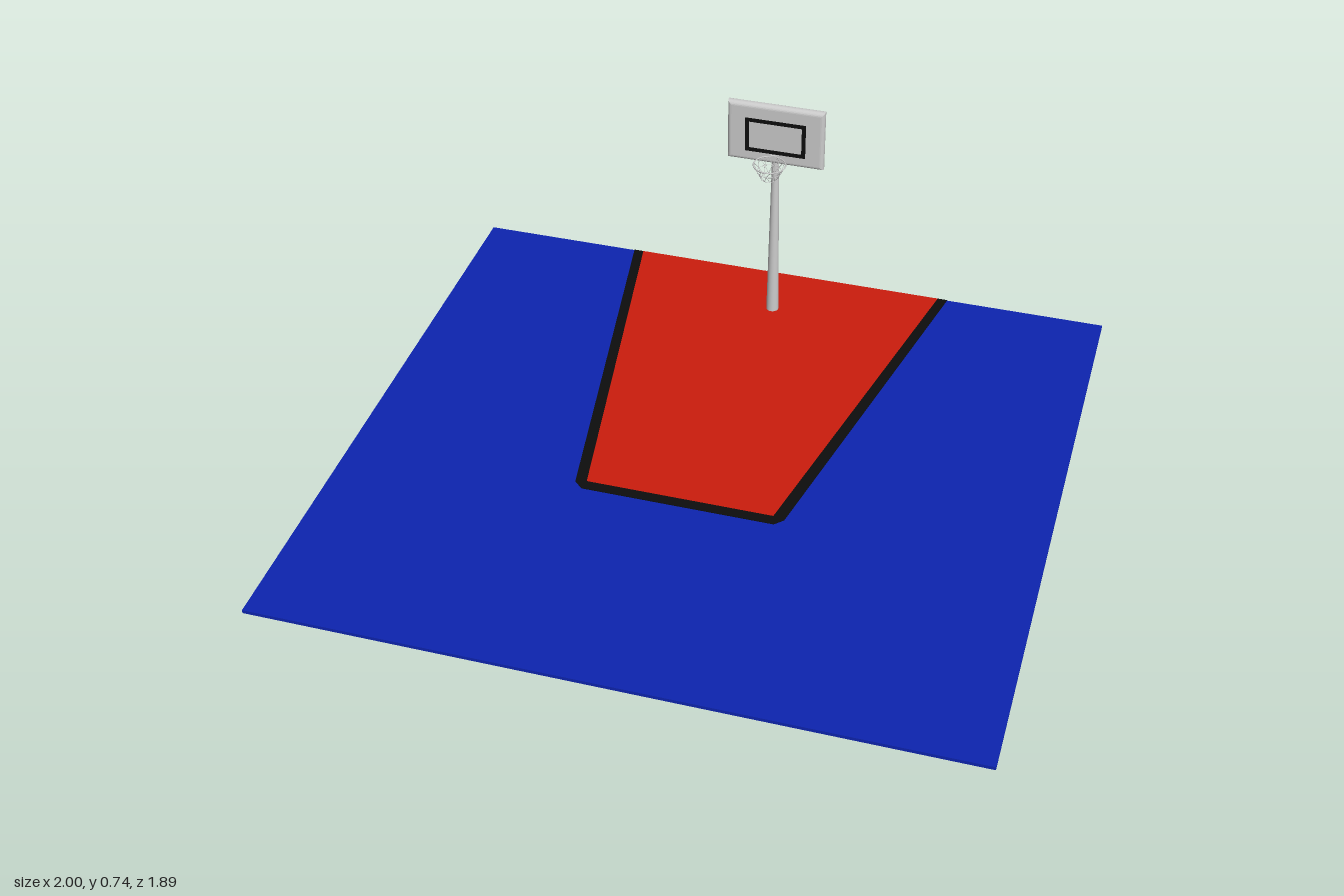
import * as THREE from 'three';

const material = (color) => new THREE.MeshStandardMaterial({ color });
const grey = material(0xcccccc);
const black = material(0x0d0d0d);
const red = material(0xcc1c0d);
const blue = material(0x0d24b0);

const FLOOR = 0.01;   // height of the court surface
const HALF_Z = 0.945; // half the court depth

function addMesh(parent, name, geometry, mat, x = 0, y = 0, z = 0) {
  const mesh = new THREE.Mesh(geometry, mat);
  mesh.name = name;
  mesh.position.set(x, y, z);
  parent.add(mesh);
  return mesh;
}

const polygon = (points) => new THREE.Shape(points.map(([x, y]) => new THREE.Vector2(x, y)));

function rectangle(w, h) {
  return polygon([[-w / 2, -h / 2], [w / 2, -h / 2], [w / 2, h / 2], [-w / 2, h / 2]]);
}

// Thin painted area on the floor, outlined in [x, z]
function addPaint(parent, name, outline, mat) {
  const geometry = new THREE.ExtrudeGeometry(polygon(outline.map(([x, z]) => [x, -z])),
    { depth: 0.002, bevelEnabled: false });
  geometry.rotateX(-Math.PI / 2);
  addMesh(parent, name, geometry, mat, 0, FLOOR, 0);
}

function createCourt() {
  const court = new THREE.Group();
  court.name = 'court';
  addMesh(court, 'floor', new THREE.BoxGeometry(2, FLOOR, HALF_Z * 2), blue, 0, FLOOR / 2, 0);

  // Key area and the U-shaped line round it
  const inner = [[-0.484, -HALF_Z], [-0.295, 0.2], [0.248, 0.2], [0.484, -HALF_Z]];
  const outer = [[0.514, -HALF_Z], [0.281, 0.208], [0.257, 0.232],
    [-0.3, 0.232], [-0.326, 0.208], [-0.514, -HALF_Z]];
  addPaint(court, 'keyArea', inner, red);
  addPaint(court, 'keyLine', [...inner, ...outer], black);
  return court;
}

function createBackboard() {
  const board = new THREE.Group();
  board.name = 'backboard';

  // Panel with rounded edges and mitred corners
  const bevel = 0.012;
  const panel = new THREE.ExtrudeGeometry(rectangle(0.294 - 2 * bevel, 0.194 - 2 * bevel), {
    depth: 0.004, bevelThickness: bevel, bevelSize: bevel, bevelSegments: 5,
  });
  panel.translate(0, 0, -0.002);
  addMesh(board, 'panel', panel, grey);

  // Target frame on the front
  const frame = rectangle(0.184, 0.112);
  frame.holes.push(rectangle(0.16, 0.088));
  addMesh(board, 'targetFrame',
    new THREE.ExtrudeGeometry(frame, { depth: 0.003, bevelEnabled: false }), black, 0, -0.006, 0.0125);
  return board;
}

function createBasket() {
  const basket = new THREE.Group();
  basket.name = 'basket';
  const drop = 0.045;
  const radiusAt = (t) => 0.048 - 0.023 * t;

  // Rim and the net's lower hoops
  [[0, 0.002], [0.5, 0.0009], [1, 0.0009]].forEach(([t, thickness]) => {
    const hoop = new THREE.TorusGeometry(radiusAt(t), thickness, 6, 32);
    hoop.rotateX(Math.PI / 2);
    addMesh(basket, t === 0 ? 'rim' : 'netHoop', hoop, grey, 0, -t * drop, 0);
  });

  // Crossing net cords, leaning both ways
  const count = 10;
  const point = (t, a) => new THREE.Vector3(
    Math.cos(a) * radiusAt(t), -t * drop, Math.sin(a) * radiusAt(t));
  for (let i = 0; i < count; i++) {
    for (const lean of [-1, 1]) {
      const a = (i / count) * Math.PI * 2;
      const step = (lean * Math.PI) / count;
      const path = new THREE.CatmullRomCurve3([0, 0.5, 1].map((t) => point(t, a + 2 * t * step)));
      addMesh(basket, 'netCord', new THREE.TubeGeometry(path, 6, 0.0008, 4), grey);
    }
  }

  // Bracket to the backboard
  addMesh(basket, 'bracket', new THREE.BoxGeometry(0.02, 0.006, 0.014), grey, 0, 0, -0.053);
  return basket;
}

export function createModel() {
  const model = new THREE.Group();
  model.name = 'basketballCourt';
  model.add(createCourt());

  const hoopStand = new THREE.Group();
  hoopStand.name = 'hoopStand';
  hoopStand.position.set(-0.003, 0, -0.754);

  // Tapered pole
  addMesh(hoopStand, 'pole', new THREE.CylinderGeometry(0.0105, 0.019, 0.56, 24), grey, 0, 0.28 + FLOOR / 2, 0);

  const backboard = createBackboard();
  backboard.position.set(0.001, 0.643, 0);
  hoopStand.add(backboard);

  const basket = createBasket();
  basket.position.set(-0.002, 0.575, 0.066);
  hoopStand.add(basket);

  model.add(hoopStand);
  return model;
}
